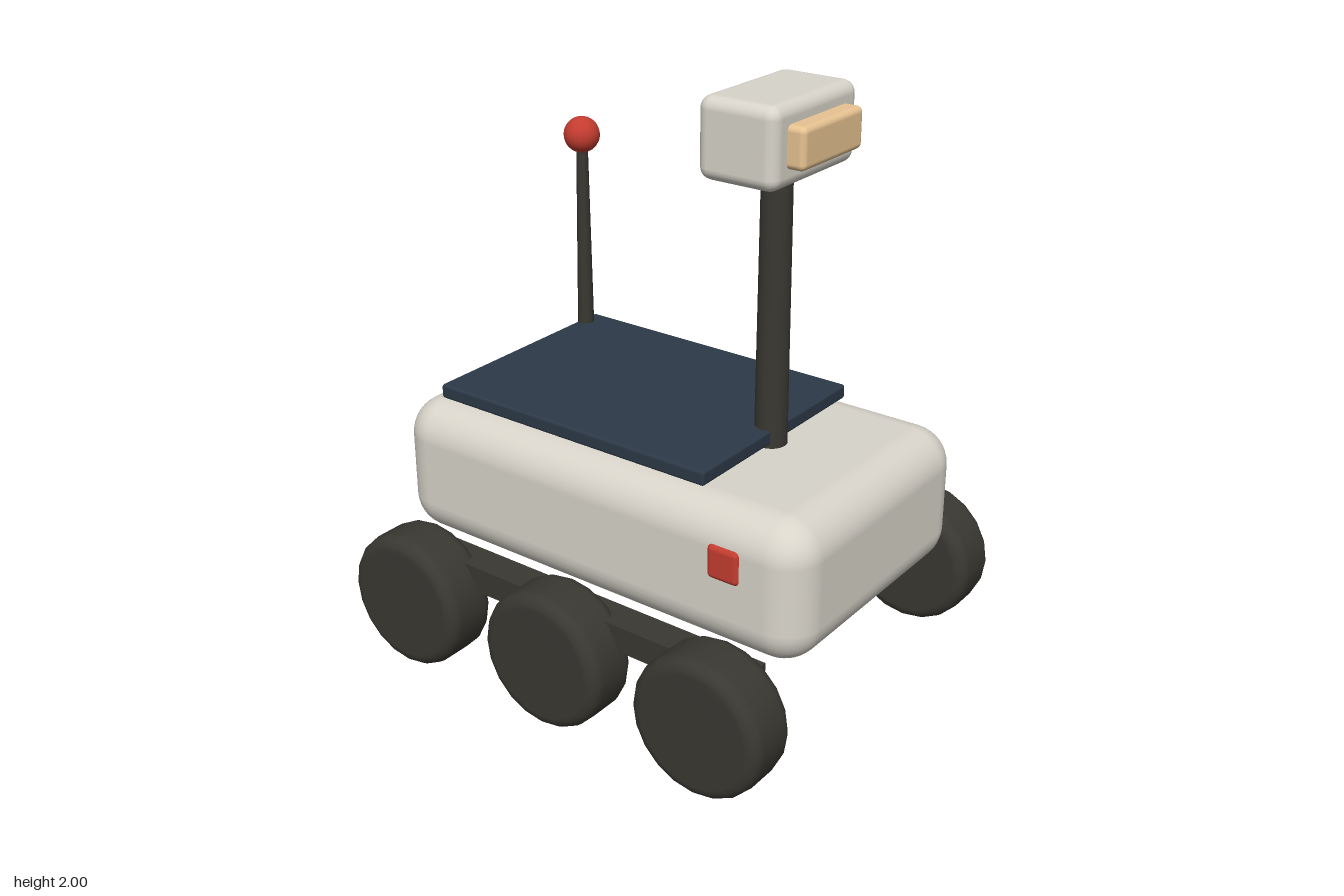
import * as THREE from 'three';
import { RoundedBoxGeometry } from 'three/addons/geometries/RoundedBoxGeometry.js';

const mat = (color) => new THREE.MeshStandardMaterial({ color });

export function createModel() {
  const rover = new THREE.Group();
  rover.name = 'rover';
  const shell = mat(0xd8d4ca), dark = mat(0x3a3832), navy = mat(0x2c3947);
  const red = mat(0xc43c30), amber = mat(0xe8c392);

  function add(name, geometry, material, x, y, z) {
    const mesh = new THREE.Mesh(geometry, material);
    mesh.name = name;
    mesh.position.set(x, y, z);
    rover.add(mesh);
    return mesh;
  }
  const rounded = (w, h, d, r, seg = 3) => new RoundedBoxGeometry(w, h, d, seg, r);

  // Hull and solar panel
  add('body', rounded(0.98, 0.485, 1.63, 0.13, 5), shell, 0, 0.602, -0.003);
  add('solarPanel', rounded(0.814, 0.05, 1.088, 0.01, 2), navy, 0, 0.882, -0.136);

  // Mast with camera head
  add('mast', new THREE.CylinderGeometry(0.05, 0.055, 0.98, 16), dark, 0, 1.29, 0.38);
  add('cameraHead', rounded(0.454, 0.255, 0.278, 0.04), shell, 0, 1.872, 0.378);
  add('cameraLens', rounded(0.326, 0.132, 0.08, 0.02), amber, 0, 1.874, 0.535);

  // Antenna with ball tip
  add('antenna', new THREE.CylinderGeometry(0.02, 0.031, 0.8, 10), dark, 0.325, 1.2, -0.655);
  add('antennaTip', new THREE.SphereGeometry(0.064, 20, 14), red, 0.325, 1.612, -0.655);

  // Wheel profile: a thick disc with rounded shoulders, spun about its axle
  const radius = 0.237, half = 0.098, round = 0.045;
  const profile = [new THREE.Vector2(0, -half)];
  for (const side of [-1, 1]) {
    for (let i = 0; i <= 4; i++) {
      const a = (side < 0 ? i - 4 : i) * Math.PI / 8;
      profile.push(new THREE.Vector2(
        radius - round + round * Math.cos(a),
        side * (half - round) + round * Math.sin(a)));
    }
  }
  profile.push(new THREE.Vector2(0, half));
  const wheel = new THREE.LatheGeometry(profile, 20);
  wheel.rotateZ(-Math.PI / 2);

  // Running gear and side lights, mirrored
  for (const side of [-1, 1]) {
    const label = side > 0 ? 'left' : 'right';
    add(label + 'SuspensionBar', new THREE.BoxGeometry(0.11, 0.09, 1.41), dark, side * 0.545, 0.349, -0.003);
    add(label + 'SideLight', rounded(0.04, 0.116, 0.116, 0.018), red, side * 0.481, 0.675, 0.543);
    ['Front', 'Middle', 'Rear'].forEach((place, i) =>
      add(label + place + 'Wheel', wheel, dark, side * 0.632, radius, 0.6 * (1 - i)));
  }
  return rover;
}
